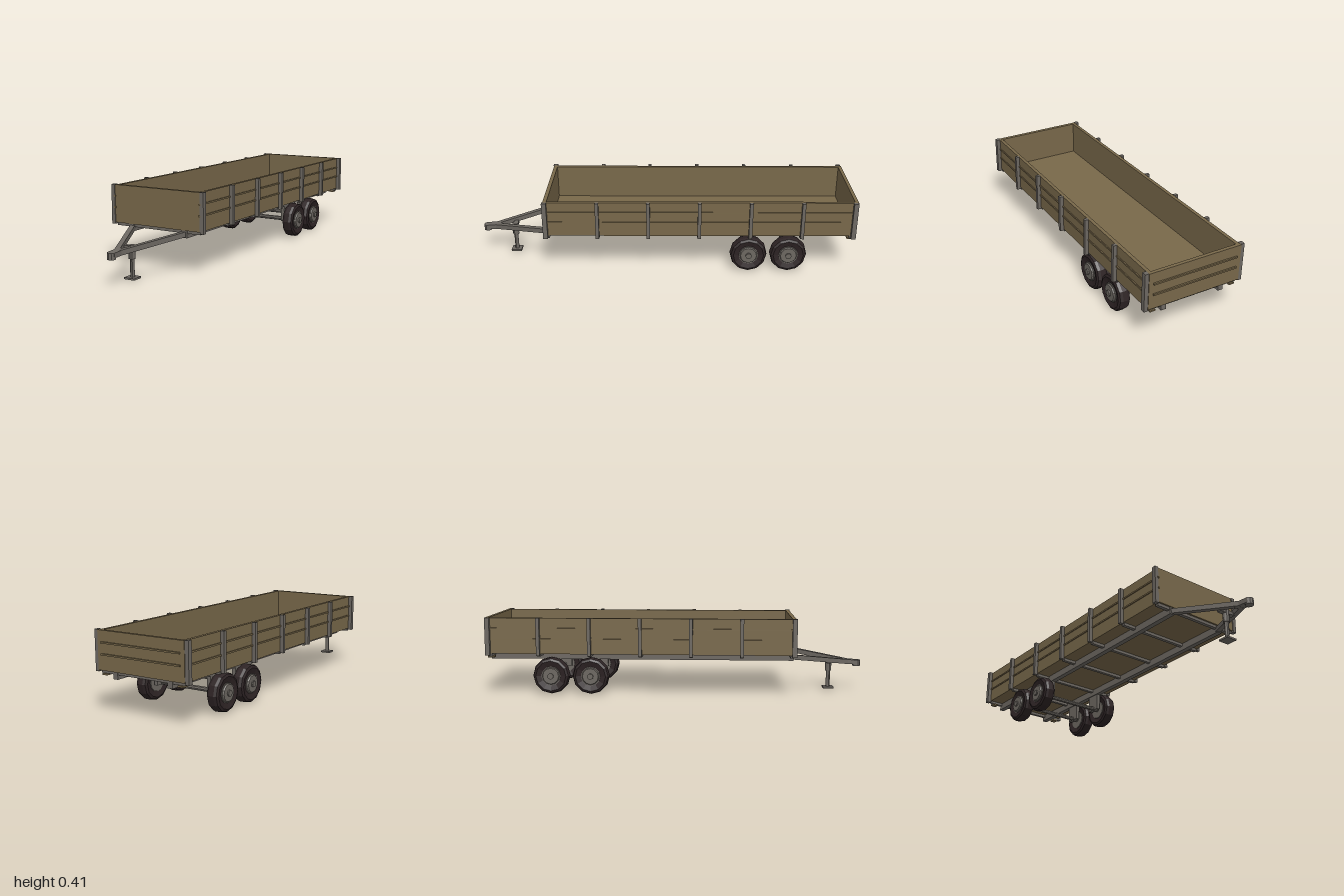
import * as THREE from 'three';

const mat = (name, color) => {
  const m = new THREE.MeshStandardMaterial({ color, flatShading: true });
  m.name = name;
  return m;
};

export function createModel() {
  const wood = mat('wood', 0x78684a);
  const steel = mat('steel', 0x6c6761);
  const rubber = mat('rubber', 0x2d2324);
  const trailer = new THREE.Group();
  trailer.name = 'trailer';

  const add = (name, geometry, material, x = 0, y = 0, z = 0, parent = trailer) => {
    const mesh = new THREE.Mesh(geometry, material);
    mesh.name = name;
    mesh.position.set(x, y, z);
    parent.add(mesh);
    return mesh;
  };
  // Box given by its lowest and highest corners
  const box = (name, material, x0, x1, y0, y1, z0, z1) =>
    add(name, new THREE.BoxGeometry(x1 - x0, y1 - y0, z1 - z0), material,
      (x0 + x1) / 2, (y0 + y1) / 2, (z0 + z1) / 2);
  // Square bar between two points
  const bar = (name, a, b, w, h) => {
    const mesh = add(name, new THREE.BoxGeometry(w, h, a.distanceTo(b)), steel);
    mesh.position.copy(a).add(b).multiplyScalar(0.5);
    mesh.lookAt(b);
    return mesh;
  };

  // Open cargo bed
  box('bedFloor', wood, -0.25, 0.25, 0.215, 0.225, -0.985, 0.62);
  box('frontBoard', wood, -0.25, 0.25, 0.215, 0.405, 0.61, 0.63);
  box('tailBoard', wood, -0.25, 0.25, 0.215, 0.405, -0.992, -0.974);
  const ridges = [0.292, 0.348];
  for (const y of ridges) box('tailRidge', wood, -0.228, 0.228, y - 0.004, y + 0.004, -1, -0.99);

  const postZ = [0.622, 0.352, 0.088, -0.177, -0.443, -0.711, -0.977];
  for (const s of [-1, 1]) {
    const side = (name, material, a, b, y0, y1, z0, z1) =>
      box(name, material, Math.min(s * a, s * b), Math.max(s * a, s * b), y0, y1, z0, z1);

    side('sideBoard', wood, 0.232, 0.25, 0.215, 0.404, -0.985, 0.62);
    for (const y of ridges) side('sideRidge', wood, 0.245, 0.255, y - 0.004, y + 0.004, -0.985, 0.636);
    postZ.forEach((z, i) => {
      const half = i === 0 || i === 6 ? 0.012 : 0.009;
      side('sidePost', steel, 0.25, 0.27, 0.207, 0.406, z - half, z + half);
    });

    // Chassis rails, tail blocks and axle hangers
    side('chassisRail', steel, 0.145, 0.172, 0.178, 0.215, -0.98, 0.625);
    side('tailBlock', wood, 0.205, 0.235, 0.192, 0.2, -0.985, -0.95);
    for (const z of [-0.44, -0.65]) {
      side('axleHanger', steel, 0.15, 0.17, 0.088, 0.18, z - 0.04, z + 0.04);
    }

    // Drawbar arm
    bar('drawbarArm', new THREE.Vector3(s * 0.158, 0.197, 0.61),
      new THREE.Vector3(s * 0.008, 0.151, 0.93), 0.025, 0.025);
  }

  for (const z of postZ) {
    const c = Math.max(-0.968, Math.min(0.612, z));
    box('crossMember', steel, -0.245, 0.245, 0.2, 0.215, c - 0.009, c + 0.009);
  }

  // Tyre with bevelled shoulders, profile as (radius, offset along axle)
  const tyreProfile = [[0.05, -0.024], [0.08, -0.032], [0.092, -0.026], [0.097, -0.012],
    [0.097, 0.012], [0.092, 0.026], [0.08, 0.032], [0.05, 0.024]]
    .map(([r, h]) => new THREE.Vector2(r, h));
  const tyre = new THREE.LatheGeometry(tyreProfile, 12);
  const rim = new THREE.CylinderGeometry(0.051, 0.051, 0.058, 12);
  const disc = new THREE.CylinderGeometry(0.042, 0.048, 0.01, 12);
  const cap = new THREE.CylinderGeometry(0.016, 0.016, 0.016, 10);
  const axle = new THREE.CylinderGeometry(0.012, 0.012, 0.38, 8);
  for (const z of [-0.44, -0.65]) {
    add('axle', axle, steel, 0, 0.097, z).rotation.z = Math.PI / 2;
    for (const s of [-1, 1]) {
      const wheel = new THREE.Group();
      wheel.name = 'wheel';
      wheel.position.set(s * 0.212, 0.097, z);
      wheel.rotation.z = -s * Math.PI / 2;
      trailer.add(wheel);
      add('tyre', tyre, rubber, 0, 0, 0, wheel);
      add('rim', rim, steel, 0, 0, 0, wheel);
      add('hubDisc', disc, steel, 0, 0.031, 0, wheel);
      add('hubCap', cap, steel, 0, 0.036, 0, wheel);
    }
  }

  // Coupling at the tip of the drawbar
  bar('coupling', new THREE.Vector3(0, 0.153, 0.905), new THREE.Vector3(0, 0.148, 0.985), 0.042, 0.024);
  add('couplingSocket', new THREE.CylinderGeometry(0.021, 0.021, 0.032, 10), steel, 0, 0.144, 0.979);

  // Parking jack
  box('jackBracket', steel, -0.045, 0.045, 0.146, 0.162, 0.815, 0.84);
  add('jackTube', new THREE.CylinderGeometry(0.017, 0.017, 0.065, 10), steel, 0, 0.133, 0.828);
  add('jackLeg', new THREE.CylinderGeometry(0.011, 0.011, 0.1, 10), steel, 0, 0.06, 0.828);
  box('jackFoot', steel, -0.029, 0.029, 0.004, 0.013, 0.8, 0.856);

  return trailer;
}
